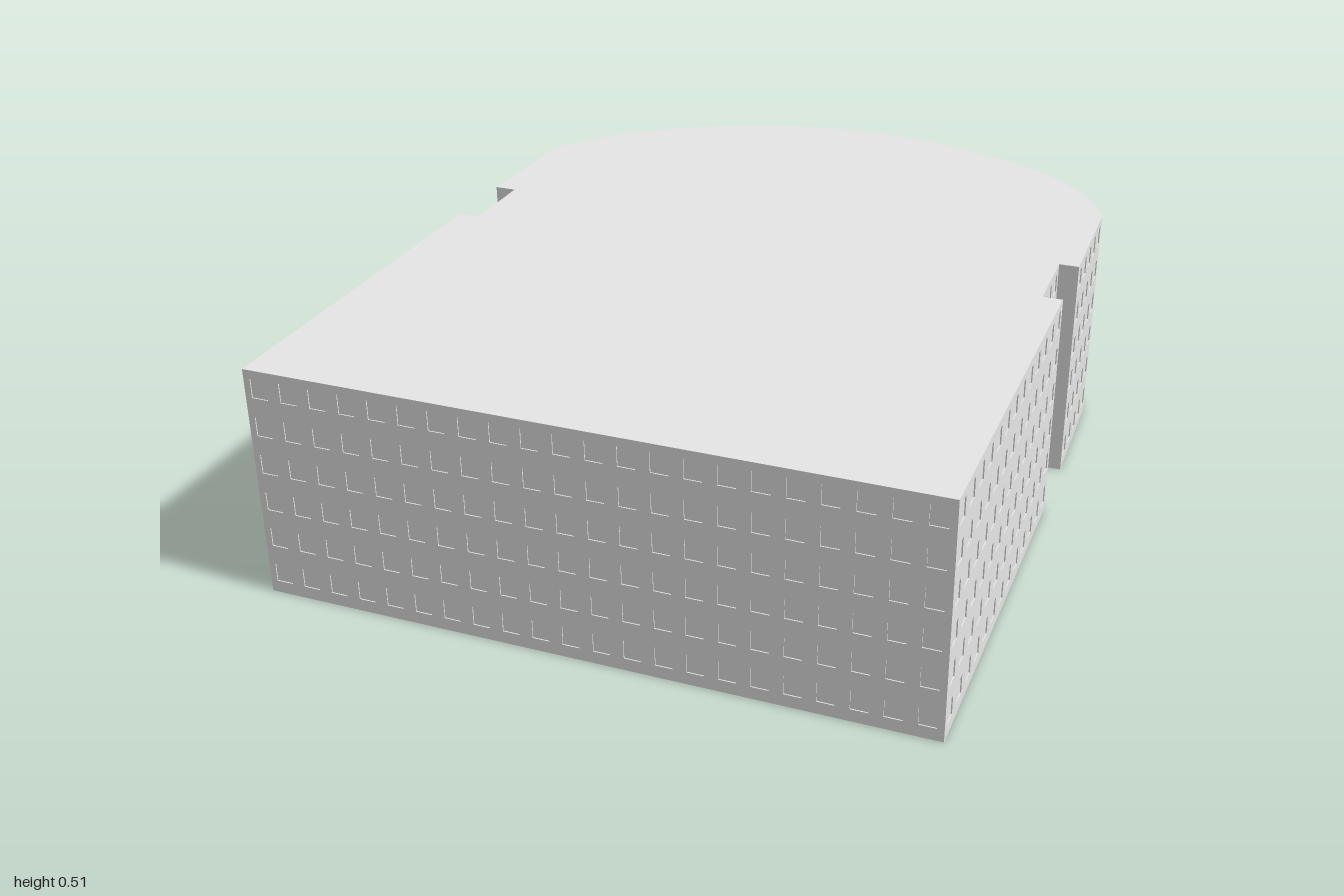
import * as THREE from 'three';

const H = 0.51, ROWS = 6, PITCH = 0.066, WIN_W = 0.036, WIN_H = 0.042, DEPTH = 0.0025;

export function createModel() {
  const group = new THREE.Group();
  const grey = new THREE.MeshStandardMaterial({ color: 0xe7e7e7, side: THREE.DoubleSide });
  grey.name = 'light grey';

  // Footprint, running counterclockwise seen from above, as [x, z]
  const v = ([x, z]) => new THREE.Vector2(x, z);
  const eastSide = [[-0.367, 1], [0.932, 0.417], [0.573, -0.388], [0.533, -0.37], [0.455, -0.54], [0.495, -0.558]].map(v);
  const arc = new THREE.SplineCurve([
    [0.36, -0.845], [0.29, -0.91], [0.2, -0.96], [0.1, -0.99], [0.02, -1], [-0.12, -1], [-0.25, -0.985],
    [-0.37, -0.95], [-0.49, -0.9], [-0.6, -0.83], [-0.7, -0.74], [-0.79, -0.63], [-0.86, -0.51],
    [-0.91, -0.38], [-0.932, -0.27],
  ].map(v)).getSpacedPoints(28);
  const westSide = [[-0.808, 0.027], [-0.763, 0.007], [-0.683, 0.18], [-0.728, 0.2]].map(v);
  const outline = [...eastSide, ...arc, ...westSide];

  const walls = [], panes = [], reveals = [];

  // One flat bay of facade between a and b, with a column of recessed windows
  function addBay(a, b, windows) {
    const len = a.distanceTo(b);
    const t = b.clone().sub(a).divideScalar(len);
    const point = (s, y, d) => [a.x + t.x * s + t.y * d, y, a.y + t.y * s - t.x * d];
    const quad = (out, p, q, r, s) => [p, q, r, p, r, s].forEach((c) => out.push(...point(...c)));
    const panel = (out, s0, s1, y0, y1, d = 0) =>
      quad(out, [s0, y0, d], [s1, y0, d], [s1, y1, d], [s0, y1, d]);
    if (!windows) return panel(walls, 0, len, 0, H);

    const w = Math.min(WIN_W, len * 0.6);
    const s0 = (len - w) / 2, s1 = s0 + w;
    panel(walls, 0, s0, 0, H);
    panel(walls, s1, len, 0, H);
    let below = 0;
    for (let row = 0; row < ROWS; row++) {
      const y0 = 0.027 + row * 0.0845, y1 = y0 + WIN_H;
      panel(walls, s0, s1, below, y0);
      panel(panes, s0, s1, y0, y1, DEPTH);
      // Sill, far jamb, lintel, near jamb
      const corners = [[s0, y0], [s1, y0], [s1, y1], [s0, y1]];
      corners.forEach((c, i) => {
        const n = corners[(i + 1) % 4];
        quad(reveals, [...c, 0], [...n, 0], [...n, DEPTH], [...c, DEPTH]);
      });
      below = y1;
    }
    panel(walls, s0, s1, below, H);
  }

  // Split every side of the footprint into equal bays
  outline.forEach((a, i) => {
    const b = outline[(i + 1) % outline.length];
    const len = a.distanceTo(b);
    const bays = Math.max(1, Math.round(len / PITCH));
    for (let k = 0; k < bays; k++) {
      addBay(a.clone().lerp(b, k / bays), a.clone().lerp(b, (k + 1) / bays), len > 0.055);
    }
  });

  function addMesh(name, positions) {
    const g = new THREE.BufferGeometry();
    g.setAttribute('position', new THREE.Float32BufferAttribute(positions, 3));
    g.computeVertexNormals();
    const mesh = new THREE.Mesh(g, grey);
    mesh.name = name;
    group.add(mesh);
  }
  addMesh('walls', walls);
  addMesh('windowPanes', panes);
  addMesh('windowReveals', reveals);

  // Flat roof; the underside of the building stays open
  const shape = new THREE.Shape(outline.map((p) => new THREE.Vector2(p.x, -p.y)));
  const roof = new THREE.Mesh(new THREE.ShapeGeometry(shape).rotateX(-Math.PI / 2), grey);
  roof.position.y = H;
  roof.name = 'roof';
  group.add(roof);

  return group;
}
